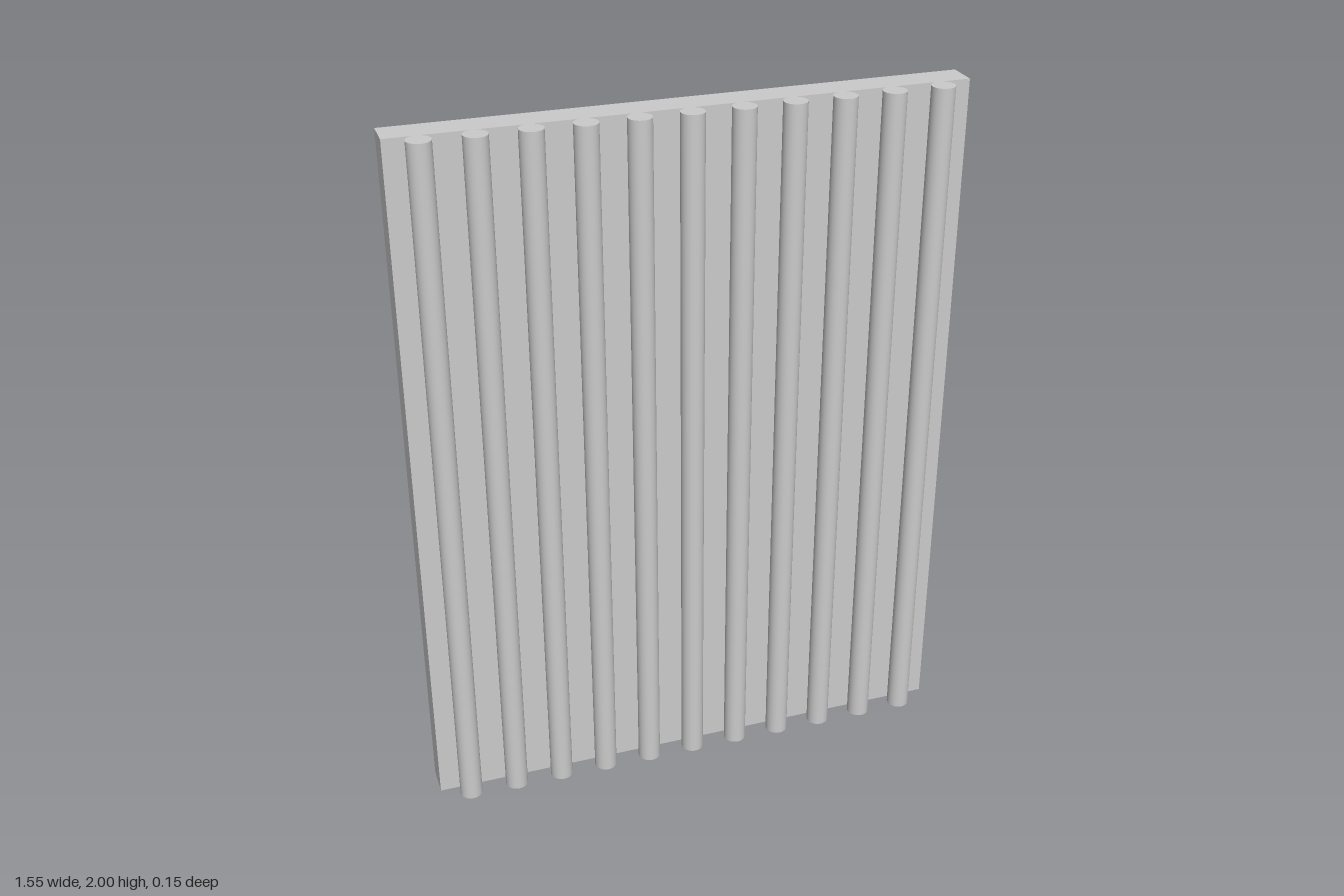
import * as THREE from 'three';

export function createModel() {
  const group = new THREE.Group();
  const material = new THREE.MeshStandardMaterial({ color: 0xcccccc });
  const height = 2;

  // Flat backing panel
  const panel = new THREE.Mesh(new THREE.BoxGeometry(1.554, height, 0.088), material);
  panel.name = 'backPanel';
  panel.position.set(0, height / 2, -0.032);
  group.add(panel);

  // Evenly spaced round ribs, partly sunk into the front of the panel
  const count = 11, spacing = 0.1377, radius = 0.0325;
  const ribGeometry = new THREE.CylinderGeometry(radius, radius, height, 32);
  for (let i = 0; i < count; i++) {
    const rib = new THREE.Mesh(ribGeometry, material);
    rib.name = `rib${i + 1}`;
    rib.position.set((i - (count - 1) / 2) * spacing - 0.003, height / 2, 0.0435);
    group.add(rib);
  }
  return group;
}
